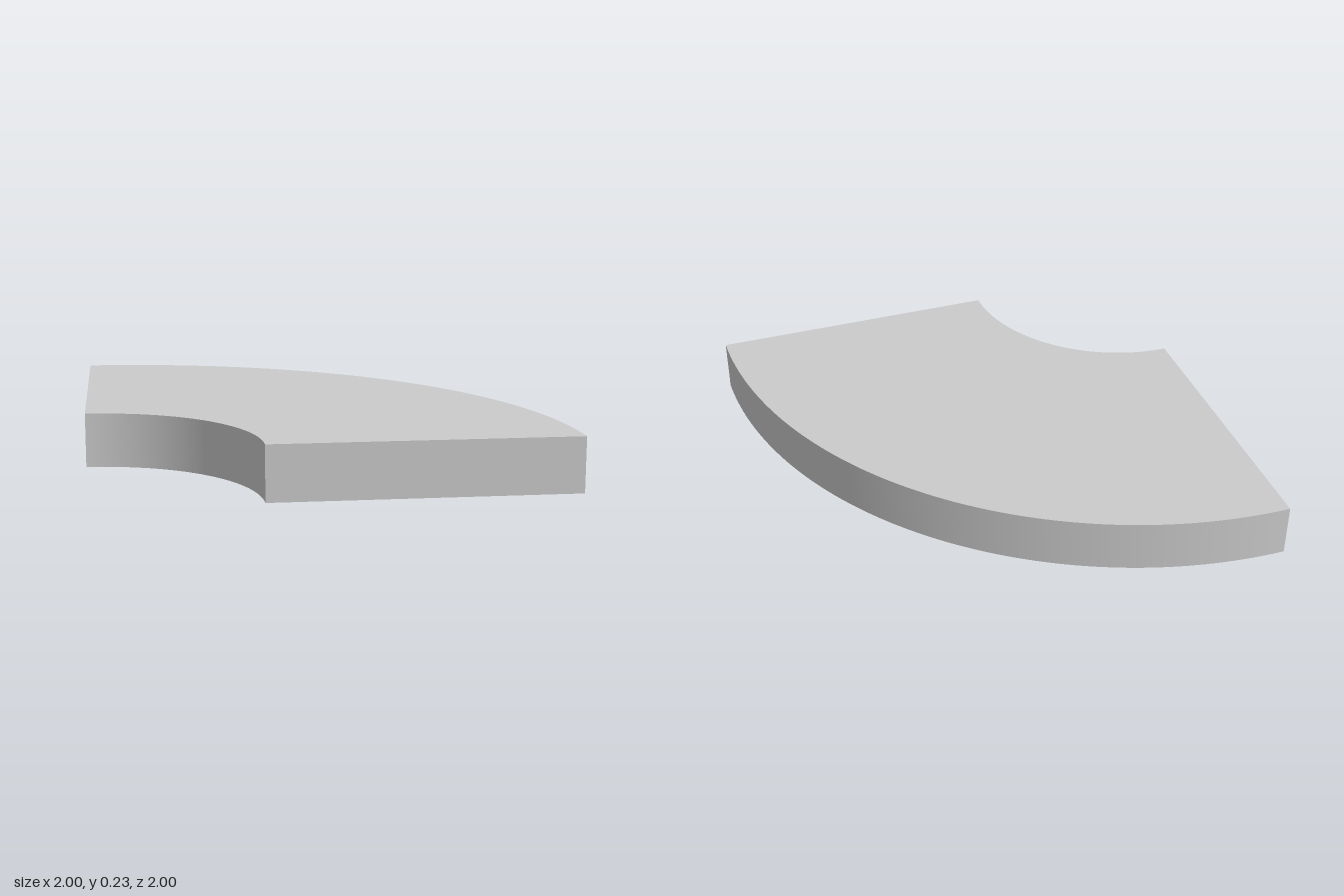
import * as THREE from 'three';
import { toCreasedNormals } from 'three/addons/utils/BufferGeometryUtils.js';

const OUTER = 2, INNER = 0.71, HEIGHT = 0.235;

export function createModel() {
  const group = new THREE.Group();
  group.name = 'quarterRing';

  // Quarter ring outline, with its arc centre at the front right corner
  const outline = new THREE.Shape();
  outline.absarc(-1, -1, OUTER, 0, Math.PI / 2, false);
  outline.absarc(-1, -1, INNER, Math.PI / 2, 0, true);
  outline.closePath();

  // Extruded upwards into a slab, with smooth curved walls and sharp rims
  const slab = new THREE.ExtrudeGeometry(outline, {
    depth: HEIGHT, bevelEnabled: false, curveSegments: 48,
  });
  slab.rotateX(-Math.PI / 2);

  const mesh = new THREE.Mesh(
    toCreasedNormals(slab, 0.5),
    new THREE.MeshStandardMaterial({ color: 0xcccccc }),
  );
  mesh.name = 'curvedSlab';
  group.add(mesh);
  return group;
}
